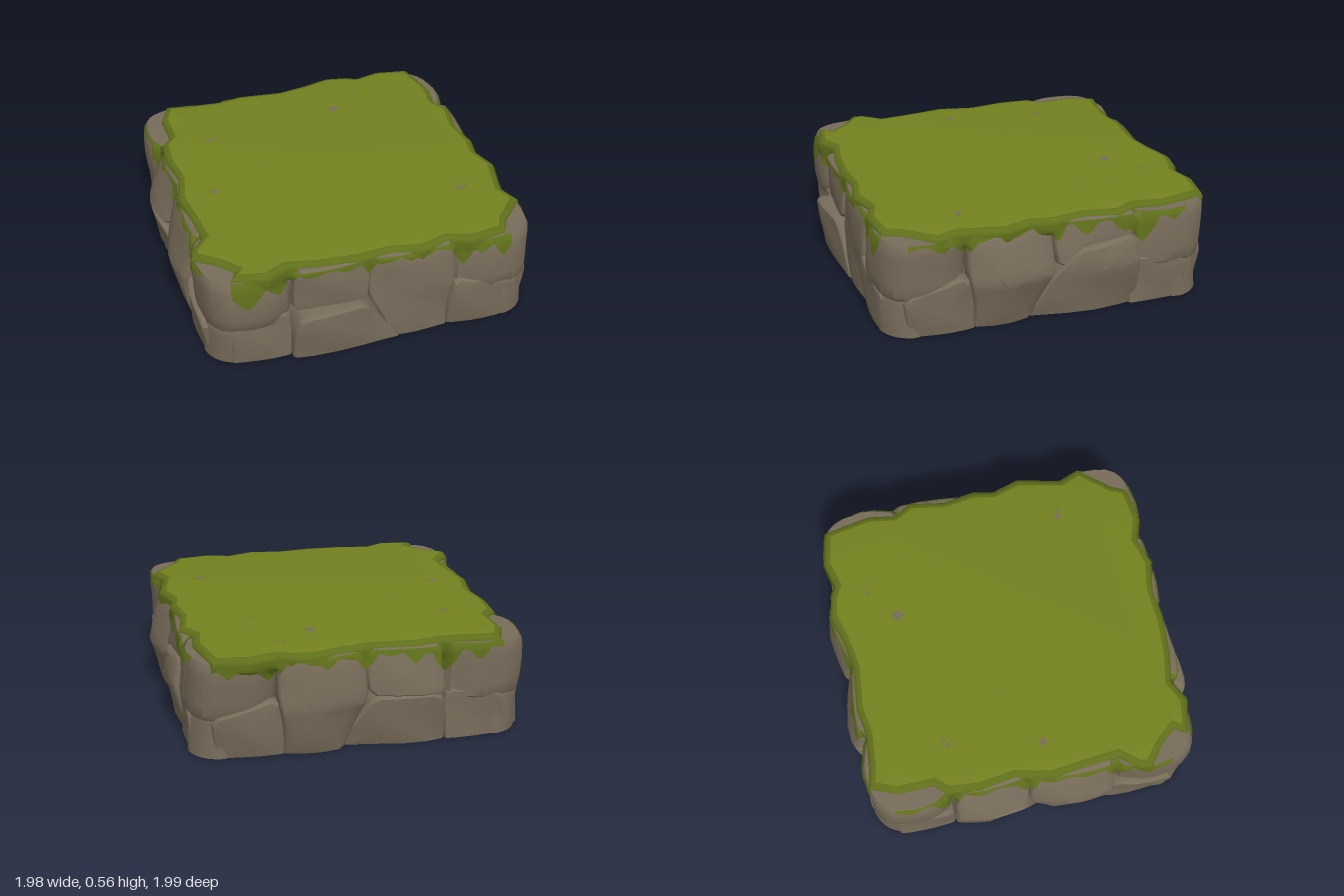
import * as THREE from 'three';
import { toCreasedNormals } from 'three/addons/utils/BufferGeometryUtils.js';

const stone = new THREE.MeshStandardMaterial({ color: 0x786c5a });
stone.name = 'stone';
const grass = new THREE.MeshStandardMaterial({ color: 0x74811f });
grass.name = 'grass';
const moss = new THREE.MeshStandardMaterial({ color: 0x5f6f1a, side: THREE.DoubleSide });
moss.name = 'moss';

// Round the corners of a closed outline and add points along its edges
function soften(points) {
  const p = points.map(([x, y]) => new THREE.Vector2(x, y));
  if (THREE.ShapeUtils.isClockWise(p)) p.reverse();
  const cut = [];
  p.forEach((a, i) => {
    const b = p[(i + 1) % p.length];
    const r = Math.min(0.3, 0.03 / a.distanceTo(b));
    for (const t of [r, 0.35, 0.65, 1 - r]) cut.push(a.clone().lerp(b, t));
  });
  return cut;
}

// Loft an outline through rings of [scale, depth], then move each vertex by a rule
function loft(points, rings, rule) {
  const p = soften(points);
  const n = p.length;
  const c = p.reduce((s, v) => s.add(v), new THREE.Vector2()).divideScalar(n);
  const pos = [];
  const index = [];
  rings.forEach(([s, d], j) => {
    p.forEach((v, i) => {
      pos.push(...rule(c.x + (v.x - c.x) * s, c.y + (v.y - c.y) * s, d));
      if (j === 0) return;
      const a = (j - 1) * n + i, b = (j - 1) * n + (i + 1) % n;
      index.push(a, b, b + n, a, b + n, a + n);
    });
  });
  const g = new THREE.BufferGeometry();
  g.setAttribute('position', new THREE.Float32BufferAttribute(pos, 3));
  g.setIndex(index);
  return toCreasedNormals(g, 0.6);
}

// Stone in a wall: outline in (along, up), outward depth at low, middle and top height,
// falling away sideways from a ridge at the given peak
const faceRings = [[1, -0.25], [1, -0.03], [0.98, -0.011], [0.93, -0.002], [0.7, 0], [0.4, 0.002], [0.15, 0.003], [0, 0.003]];
function wallStone(points, [low, mid, top, peak, fall], angle, seed) {
  const g = loft(points, faceRings, (u, y, d) => {
    const h = Math.max(0, y);
    const base = h < 0.27
      ? THREE.MathUtils.lerp(low, mid, h / 0.27)
      : THREE.MathUtils.lerp(mid, top, (h - 0.27) / 0.27);
    const side = fall * Math.pow(Math.min(1.3, Math.abs(u - peak) / 0.25), 1.4);
    return [u, h, base - side + d + 0.007 * Math.sin(9 * u + 13 * h + seed)];
  });
  return g.rotateY(angle);
}

// Stone lofted upward, for the corners
function cornerStone(points, rings, angle, seed) {
  const g = loft(points.map(([x, z]) => [x, -z]), rings, (x, y, d) =>
    [x + 0.008 * Math.sin(14 * d + seed), y + 0.008 * Math.cos(11 * d + seed), d]);
  return g.rotateX(-Math.PI / 2).rotateY(angle);
}

// Outlines shared by the walls
const outlines = {
  lowerLeftStone: [[-0.79, -0.08], [-0.46, -0.08], [-0.45, 0.2], [-0.47, 0.285], [-0.79, 0.235]],
  lowerMiddleStone: [[-0.46, -0.08], [0.16, -0.08], [0.13, 0.02], [0, 0.2], [-0.05, 0.28], [-0.42, 0.285], [-0.46, 0.2]],
  upperMiddleStone: [[-0.45, 0.28], [-0.04, 0.285], [-0.02, 0.4], [-0.03, 0.545], [-0.44, 0.54]],
  tallStone: [[0.13, -0.08], [0.43, -0.08], [0.43, 0.15], [0.46, 0.32], [0.46, 0.54], [-0.02, 0.545], [-0.03, 0.29], [0.03, 0.17]],
  lowerRightStone: [[0.42, -0.08], [0.79, -0.08], [0.81, 0.23], [0.46, 0.32], [0.42, 0.15]]
};
// Taller lower stone with a cap above, for the right wall
const rightOutlines = {
  ...outlines,
  lowerMiddleStone: [[-0.5, -0.08], [0.16, -0.08], [0.12, 0.02], [0, 0.23], [-0.15, 0.39], [-0.48, 0.425], [-0.51, 0.25]],
  upperMiddleStone: [[-0.5, 0.42], [-0.17, 0.39], [-0.04, 0.28], [-0.02, 0.4], [-0.03, 0.545], [-0.5, 0.54]]
};

// Per wall: rotation, mirroring, stone depths [low, mid, top, peak, fall] and moss drips [along, half width, length]
const walls = [
  { name: 'front', angle: 0, flip: 1, shapes: outlines,
    lower: [0.97, 0.995, 0.95, -0.33, 0.025], upper: [0.92, 0.925, 0.92, -0.24, 0.01], tall: [0.92, 0.93, 0.915, 0.2, 0.015],
    drips: [[-0.7, 0.12, 0.16], [-0.52, 0.1, 0.12], [-0.03, 0.04, 0.09], [0.2, 0.05, 0.04], [0.5, 0.07, 0.14], [0.6, 0.08, 0.07], [0.73, 0.06, 0.12]] },
  { name: 'right', angle: Math.PI / 2, flip: -1, shapes: rightOutlines,
    lower: [0.92, 0.975, 0.93, 0.28, 0.03], upper: [0.93, 0.95, 0.905, 0.28, 0.02], tall: [0.92, 0.995, 0.915, -0.27, 0.05],
    drips: [[-0.6, 0.07, 0.06], [-0.47, 0.08, 0.1], [0.04, 0.05, 0.1], [0.2, 0.07, 0.08], [0.42, 0.08, 0.09], [0.52, 0.1, 0.17], [0.7, 0.06, 0.06]] },
  { name: 'back', angle: Math.PI, flip: -1, shapes: outlines,
    lower: [0.93, 0.975, 0.94, 0.3, 0.035], upper: [0.94, 0.975, 0.92, 0.32, 0.035], tall: [0.94, 1, 0.955, -0.27, 0.05],
    drips: [[-0.72, 0.07, 0.08], [-0.5, 0.09, 0.12], [-0.2, 0.06, 0.06], [0.02, 0.07, 0.1], [0.28, 0.06, 0.08], [0.46, 0.09, 0.16], [0.64, 0.07, 0.09]] },
  { name: 'left', angle: -Math.PI / 2, flip: 1, shapes: outlines,
    lower: [0.93, 0.995, 0.95, -0.27, 0.045], upper: [0.95, 0.995, 0.89, -0.28, 0.045], tall: [0.93, 0.975, 0.9, 0.23, 0.03],
    drips: [[-0.48, 0.08, 0.15], [-0.04, 0.07, 0.12], [0.47, 0.07, 0.12], [0.64, 0.07, 0.07]] }
];

const upperCorner = [[0.43, 0.42], [0.86, 0.455], [0.925, 0.56], [0.935, 0.68], [0.915, 0.83], [0.83, 0.9], [0.64, 0.935], [0.455, 0.89]];
const upperRings = [[0, 0.215], [0.9, 0.215], [0.97, 0.235], [1, 0.3], [1, 0.4], [0.99, 0.47], [0.96, 0.51], [0.89, 0.535], [0, 0.54]];
const lowerCorner = [[0.66, 0.66], [0.89, 0.69], [0.915, 0.74], [0.9, 0.8], [0.86, 0.86], [0.8, 0.9], [0.74, 0.915], [0.69, 0.89]];
const lowerRings = [[0, 0], [0.97, 0], [1, 0.1], [1, 0.19], [0.96, 0.225], [0.88, 0.24], [0, 0.245]];

// Turf outline in (x, z)
const turfOutline = [
  [-0.76, -0.9], [-0.62, -0.88], [-0.45, -0.87], [-0.3, -0.9], [-0.05, -0.88], [0.1, -0.91], [0.27, -0.96], [0.4, -0.94],
  [0.46, -0.91], [0.6, -0.95], [0.8, -0.92], [0.83, -0.8], [0.86, -0.65], [0.84, -0.5], [0.9, -0.4], [0.87, -0.2],
  [0.9, -0.02], [0.88, 0.1], [0.93, 0.25], [0.9, 0.4], [0.88, 0.5], [0.93, 0.62], [0.79, 0.79], [0.75, 0.88],
  [0.55, 0.91], [0.42, 0.87], [0.27, 0.92], [0.1, 0.89], [-0.1, 0.91], [-0.3, 0.9], [-0.47, 0.87], [-0.58, 0.93],
  [-0.78, 0.89], [-0.74, 0.82], [-0.82, 0.73], [-0.93, 0.65], [-0.92, 0.58], [-0.84, 0.48], [-0.86, 0.3], [-0.89, 0.1],
  [-0.85, -0.1], [-0.88, -0.3], [-0.87, -0.48], [-0.81, -0.55], [-0.82, -0.75]
];

// Ragged moss skirt laid over the stones of one wall
function mossSkirt({ angle, drips }, targets) {
  const up = new THREE.Vector3(0, 1, 0);
  const inward = new THREE.Vector3(0, 0, -1).applyAxisAngle(up, angle);
  const ray = new THREE.Raycaster();
  const rows = 5, cols = 104, pos = [], index = [];
  for (let i = 0; i <= cols; i++) {
    const u = -0.78 + 1.56 * i / cols;
    let length = 0.022 + 0.01 * Math.sin(31 * u + angle);
    for (const [at, width, drop] of drips) {
      length = Math.max(length, drop * Math.pow(Math.max(0, 1 - Math.abs(u - at) / width), 0.6));
    }
    for (let j = 0; j <= rows; j++) {
      const y = 0.535 - length * j / rows;
      ray.set(new THREE.Vector3(u, y, 1.4).applyAxisAngle(up, angle), inward);
      const hit = ray.intersectObjects(targets)[0];
      const d = hit ? 1.4 - hit.distance : 0.86;
      pos.push(u, y, d + 0.006);
      if (i < cols && j < rows) {
        const a = i * (rows + 1) + j, b = a + rows + 1;
        index.push(a, a + 1, b + 1, a, b + 1, b);
      }
    }
  }
  const g = new THREE.BufferGeometry();
  g.setAttribute('position', new THREE.Float32BufferAttribute(pos, 3));
  g.setIndex(index);
  g.computeVertexNormals();
  return g.rotateY(angle);
}

export function createModel() {
  const model = new THREE.Group();
  model.name = 'grassyRockPlatform';
  const add = (name, geometry, material) => {
    const mesh = new THREE.Mesh(geometry, material);
    mesh.name = name;
    model.add(mesh);
    return mesh;
  };

  // Solid core behind the stones
  const solid = [add('core', new THREE.BoxGeometry(1.66, 0.5, 1.66).translate(0, 0.25, 0), stone)];

  // Wall and corner stones
  walls.forEach((w, k) => {
    const depths = {
      lowerLeftStone: [0.915, 0.92, 0.9, -0.6, 0.015], lowerRightStone: [0.915, 0.945, 0.9, 0.58, 0.02],
      lowerMiddleStone: w.lower, upperMiddleStone: w.upper, tallStone: w.tall
    };
    Object.entries(w.shapes).forEach(([name, points], i) => {
      const depth = [...depths[name]];
      if (/Left|Right/.test(name)) depth[3] *= w.flip;
      const shape = points.map(([u, y]) => [u * w.flip, y]);
      solid.push(add(w.name + name[0].toUpperCase() + name.slice(1), wallStone(shape, depth, w.angle, k * 5 + i * 2), stone));
    });
    solid.push(add('upperCornerStone', cornerStone(upperCorner, upperRings, w.angle, k), stone));
    solid.push(add('lowerCornerStone', cornerStone(lowerCorner, lowerRings, w.angle, k + 2), stone));
  });

  // Turf slab with a darker rounded rim
  const shape = new THREE.Shape(turfOutline.map(([x, z]) => new THREE.Vector2(x, -z)));
  const slab = new THREE.ExtrudeGeometry(shape, {
    depth: 0.04, bevelThickness: 0.03, bevelSize: 0.04, bevelOffset: -0.04, bevelSegments: 3
  });
  slab.rotateX(-Math.PI / 2).translate(0, 0.493, 0);
  solid.push(add('turf', toCreasedNormals(slab, 0.7), [grass, moss]));

  // Moss hanging over each wall
  walls.forEach((w) => add(w.name + 'Moss', mossSkirt(w, solid), moss));

  // Small stones showing through the turf: x, z, radius, sides
  const pebbles = [
    [0.21, -0.58, 0.035, 5], [-0.68, 0.09, 0.027, 4], [0.65, 0.44, 0.028, 3], [0.68, 0.44, 0.016, 3], [-0.6, -0.43, 0.022, 3],
    [-0.57, -0.45, 0.018, 3], [0.38, -0.73, 0.013, 4], [0.42, -0.74, 0.01, 3], [0.55, -0.51, 0.01, 3], [0.48, -0.34, 0.01, 3],
    [-0.34, -0.13, 0.01, 3], [-0.81, -0.35, 0.01, 3]
  ];
  pebbles.forEach(([x, z, r, sides], i) => {
    const g = new THREE.CylinderGeometry(r * 0.9, r, 0.006, sides).rotateY(i * 1.3).translate(x, 0.562, z);
    add('pebble', g, stone);
  });
  return model;
}
